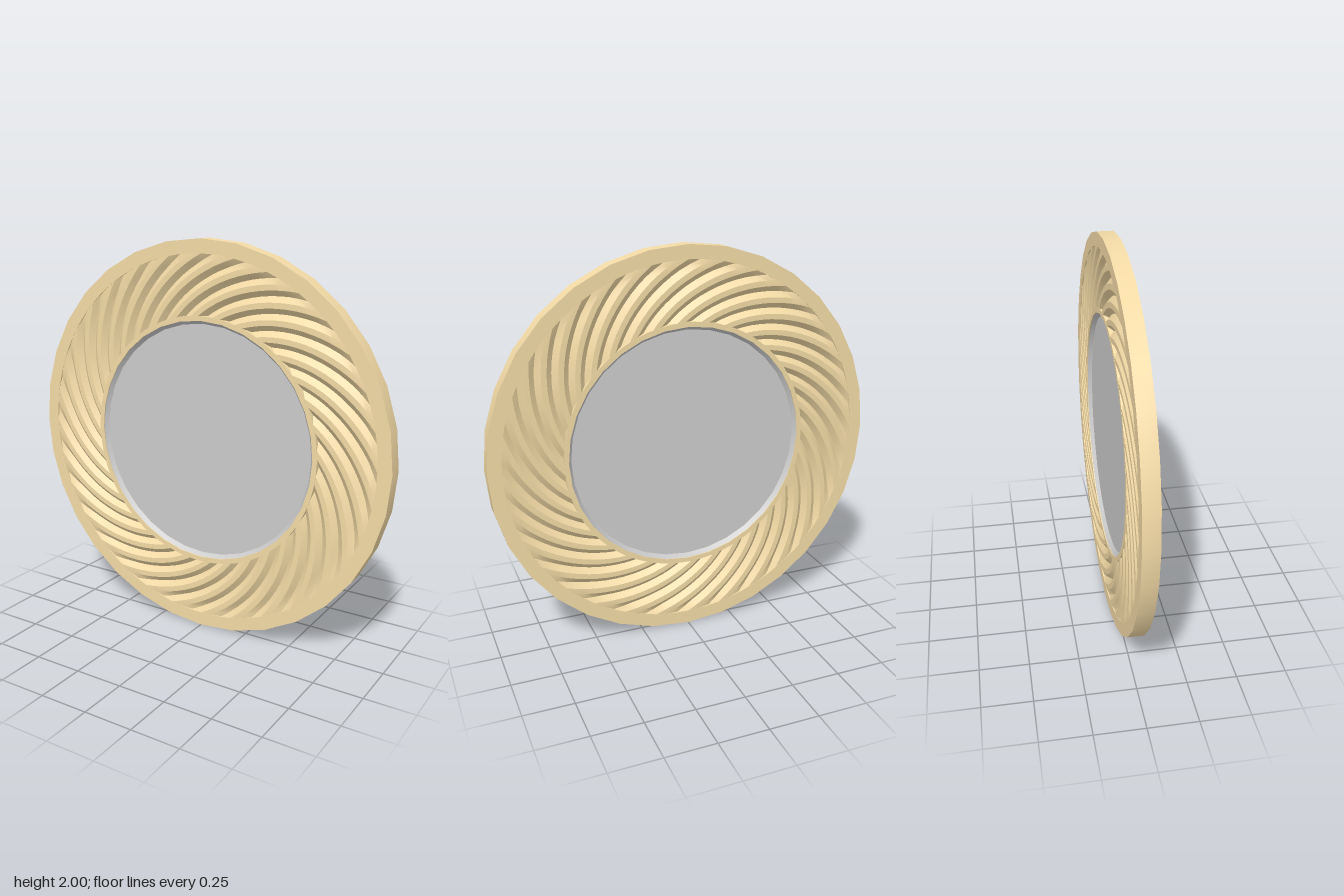
import * as THREE from 'three';
import { toCreasedNormals } from 'three/addons/utils/BufferGeometryUtils.js';

const HALF = 0.04;        // half the thickness
const R_IN = 0.632, R_OUT = 0.93;
const FLUTES = 32, SWEEP = 0.62, DEPTH = 0.025;

const wood = new THREE.MeshStandardMaterial({ color: 0xf3daa6 });
const glass = new THREE.MeshStandardMaterial({ color: 0xcccccc });

function circlePoints(radius, sides) {
  return Array.from({ length: sides }, (_, i) => {
    const a = (i / sides) * Math.PI * 2;
    return new THREE.Vector2(radius * Math.cos(a), radius * Math.sin(a));
  });
}

// Flat-faced band through the full thickness
function band(name, inner, innerSides, outer, outerSides) {
  const shape = new THREE.Shape(circlePoints(outer, outerSides));
  shape.holes.push(new THREE.Path(circlePoints(inner, innerSides)));
  const geo = new THREE.ExtrudeGeometry(shape, { depth: 2 * HALF, bevelEnabled: false });
  geo.translate(0, 0, -HALF);
  const mesh = new THREE.Mesh(toCreasedNormals(geo, 0.4), wood);
  mesh.name = name;
  return mesh;
}

// Spiral relief: flat crest, slope down, slope up, repeated round the ring
function fluteGeometry() {
  const rows = 12, cols = FLUTES * 3;
  const pos = [], index = [];
  for (let j = 0; j <= rows; j++) {
    const t = j / rows;
    const r = R_IN + (R_OUT - R_IN) * t;
    const depth = DEPTH * Math.min(1, 0.35 + (R_OUT - r) / 0.08);
    for (let i = 0; i <= cols; i++) {
      const a = ((i % cols) / cols) * Math.PI * 2 - SWEEP * (t - 1);
      const z = HALF - (i % 3 === 2 ? depth : 0.001);
      pos.push(r * Math.cos(a), r * Math.sin(a), z);
    }
  }
  for (let j = 0; j < rows; j++) {
    for (let i = 0; i < cols; i++) {
      const a = j * (cols + 1) + i, b = a + cols + 1;
      index.push(a, b, b + 1, a, b + 1, a + 1);
    }
  }
  const geo = new THREE.BufferGeometry();
  geo.setAttribute('position', new THREE.Float32BufferAttribute(pos, 3));
  geo.setIndex(index);
  return toCreasedNormals(geo, 0.35);
}

// Recessed disc with a sloping rim
function mirrorGeometry() {
  const profile = [[0.614, HALF - 0.002], [0.595, 0.015], [0, 0.015]];
  const geo = new THREE.LatheGeometry(profile.map(([x, y]) => new THREE.Vector2(x, y)), 32);
  geo.rotateX(Math.PI / 2);
  return toCreasedNormals(geo, 0.4);
}

export function createModel() {
  const model = new THREE.Group();
  model.name = 'roundMirror';

  const disc = new THREE.Group();
  disc.name = 'disc';
  disc.position.y = 1;
  model.add(disc);

  disc.add(band('outerRim', R_OUT, FLUTES * 3, 1, 32));
  disc.add(band('innerLip', 0.612, 32, R_IN + 0.003, 96));

  // Both faces carry the same relief and glass
  const flutes = fluteGeometry(), mirror = mirrorGeometry();
  for (const side of ['front', 'back']) {
    const face = new THREE.Group();
    face.name = side + 'Face';
    if (side === 'back') face.rotation.y = Math.PI;
    const relief = new THREE.Mesh(flutes, wood);
    relief.name = side + 'SpiralFlutes';
    const pane = new THREE.Mesh(mirror, glass);
    pane.name = side + 'MirrorPane';
    face.add(relief, pane);
    disc.add(face);
  }
  return model;
}
